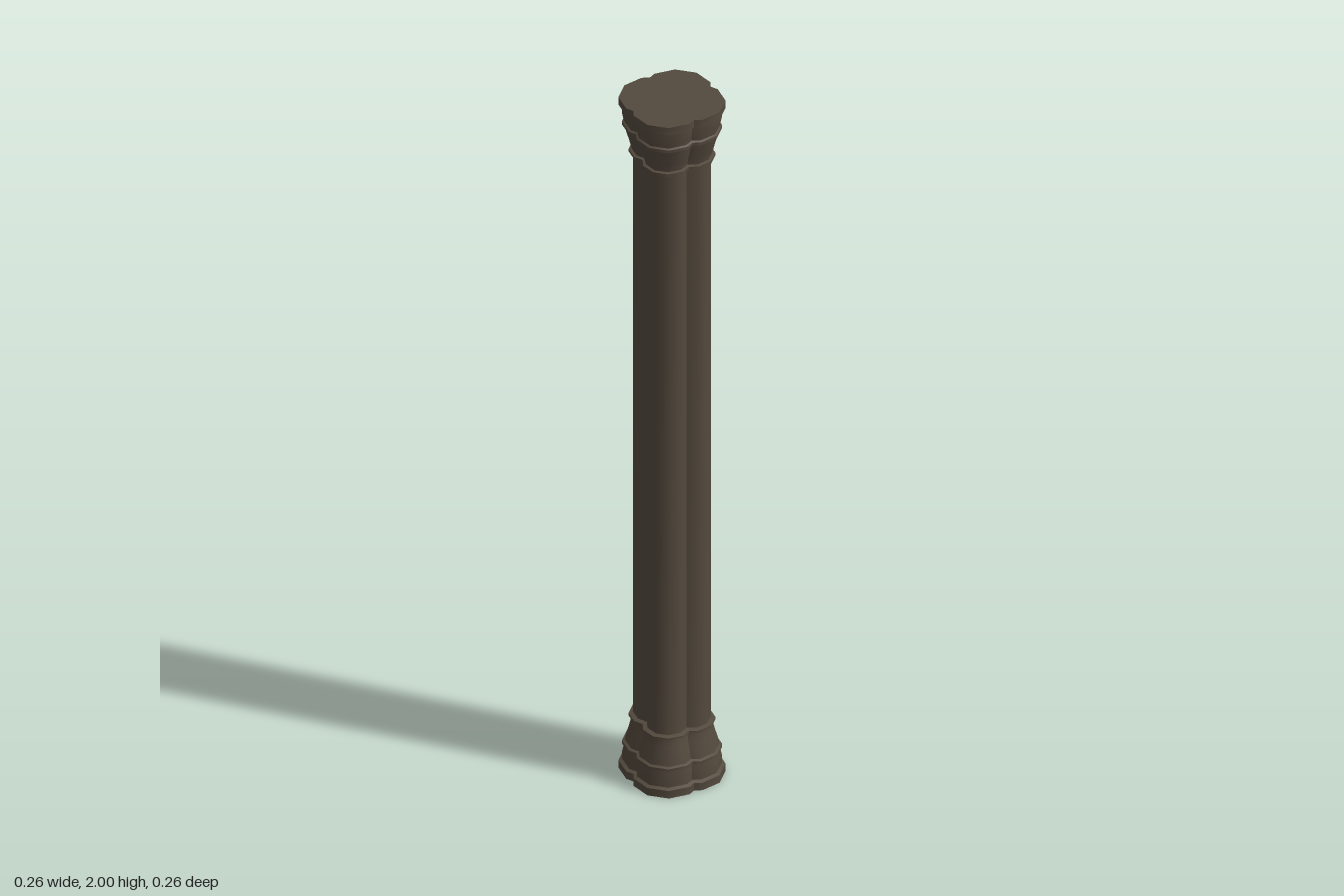
import * as THREE from 'three';
import { toCreasedNormals } from 'three/addons/utils/BufferGeometryUtils.js';

const LOBE = 0.046; // distance of each lobe centre from the axis
const DEG = Math.PI / 180;

// Outline of four overlapping ten-sided lobes whose flats reach out to `extent`
function outline(extent) {
  const r = (extent - LOBE) / Math.cos(18 * DEG);
  const p = [54, 90].map(a => [r * Math.sin(a * DEG), LOBE + r * Math.cos(a * DEG)]);
  // the notch is where the lobe side meets the diagonal
  const dx = p[1][0] - p[0][0], dz = p[1][1] - p[0][1];
  const t = (p[0][1] - p[0][0]) / (dx - dz);
  const notch = p[0][0] + dx * t;
  const quarter = [-54, -18, 18, 54].map(a => [r * Math.sin(a * DEG), LOBE + r * Math.cos(a * DEG)]);
  quarter.push([notch, notch]);
  const ring = [];
  for (let k = 0; k < 4; k++) {
    const c = Math.round(Math.cos(k * 90 * DEG)), s = Math.round(Math.sin(k * 90 * DEG));
    for (const [x, z] of quarter) ring.push([x * c + z * s, z * c - x * s]);
  }
  return ring;
}

// Loft the outline through [extent, y] pairs, bottom to top, and cap both ends
function loft(profile) {
  const pos = [], idx = [], n = 20;
  for (const [e, y] of profile) for (const [x, z] of outline(e)) pos.push(x, y, z);
  for (let j = 0; j < profile.length - 1; j++) {
    for (let i = 0; i < n; i++) {
      const a = j * n + i, b = j * n + (i + 1) % n;
      idx.push(a, b, b + n, a, b + n, a + n);
    }
  }
  const last = (profile.length - 1) * n, bottom = pos.length / 3, top = bottom + 1;
  pos.push(0, profile[0][1], 0, 0, profile[profile.length - 1][1], 0);
  for (let i = 0; i < n; i++) {
    const k = (i + 1) % n;
    idx.push(bottom, k, i, top, last + i, last + k);
  }
  const g = new THREE.BufferGeometry();
  g.setAttribute('position', new THREE.Float32BufferAttribute(pos, 3));
  g.setIndex(idx);
  return toCreasedNormals(g, 40 * DEG);
}

export function createModel() {
  const stone = new THREE.MeshStandardMaterial({ color: 0x544a3e });
  stone.name = 'brown stone';
  const group = new THREE.Group();
  group.name = 'clusteredColumn';

  const add = (name, profile) => {
    const mesh = new THREE.Mesh(loft(profile), stone);
    mesh.name = name;
    group.add(mesh);
  };

  // Plinth, drum, lip, cove and neck ring, from the ground up
  const moulding = [
    [0.131, 0], [0.131, 0.022], [0.122, 0.026],
    [0.122, 0.05], [0.118, 0.07], [0.123, 0.073], [0.123, 0.081], [0.116, 0.084],
    [0.112, 0.105], [0.105, 0.13], [0.1, 0.153],
    [0.107, 0.155], [0.107, 0.162], [0.097, 0.165],
  ];
  add('base', moulding);
  add('shaft', [[0.096, 0.16], [0.096, 1.84]]);
  add('capital', moulding.map(([e, y]) => [e, 2 - y]).reverse());
  return group;
}
